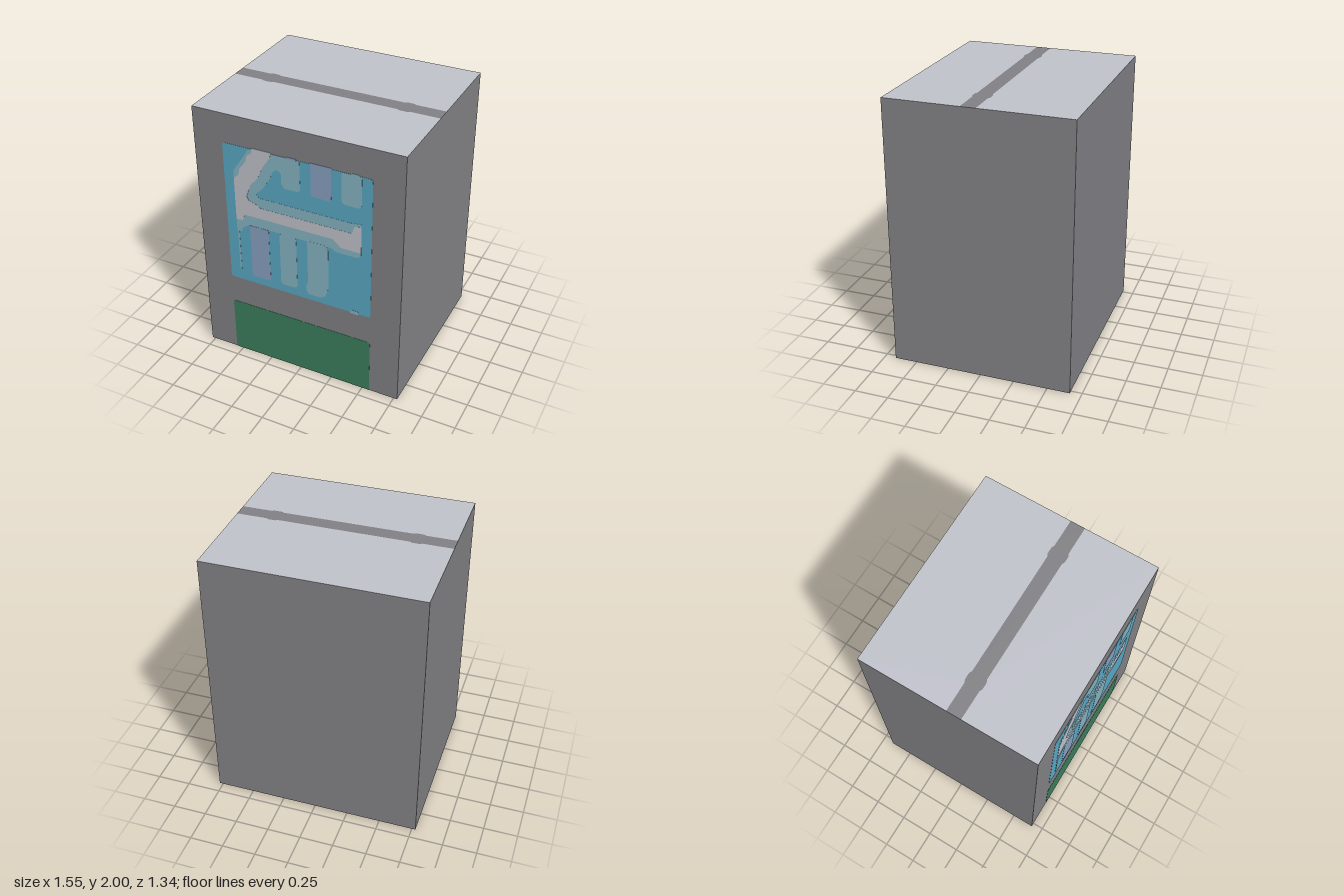
import * as THREE from 'three';

const mat = (name, color, side = THREE.FrontSide) => {
  const m = new THREE.MeshStandardMaterial({ color, side });
  m.name = name;
  return m;
};

// Closed outline from [x, y] points
const outline = (pts) => new THREE.Shape(pts.map(([x, y]) => new THREE.Vector2(x, y)));

// Rectangle with separately rounded bottom and top corners
function roundedRect(x0, x1, y0, y1, rBottom, rTop) {
  const s = new THREE.Shape();
  s.moveTo(x0 + rBottom, y0);
  s.lineTo(x1 - rBottom, y0);
  s.quadraticCurveTo(x1, y0, x1, y0 + rBottom);
  s.lineTo(x1, y1 - rTop);
  s.quadraticCurveTo(x1, y1, x1 - rTop, y1);
  s.lineTo(x0 + rTop, y1);
  s.quadraticCurveTo(x0, y1, x0, y1 - rTop);
  s.lineTo(x0, y0 + rBottom);
  s.quadraticCurveTo(x0, y0, x0 + rBottom, y0);
  return s;
}

export function createModel() {
  const W = 1.555, H = 2, D = 1.335;
  const grey = mat('cabinetGrey', 0x828286, THREE.DoubleSide);
  const light = mat('paleGrey', 0xc1c3cc, THREE.DoubleSide);
  const blue = mat('windowBlue', 0x59a9c5);
  const teal = mat('paleTeal', 0x86b4c2);
  const mauve = mat('mauveBlue', 0x8aa2c0);
  const green = mat('hatchGreen', 0x3c7e5d);

  const model = new THREE.Group();
  model.name = 'cabinet';
  const add = (parent, name, geometry, material) => {
    const mesh = new THREE.Mesh(geometry, material);
    mesh.name = name;
    parent.add(mesh);
    return mesh;
  };

  // Thin walls, open underneath
  const wall = (name, width, x, z, turn) => {
    const m = add(model, name, new THREE.PlaneGeometry(width, H), grey);
    m.position.set(x, H / 2, z);
    m.rotation.y = turn;
  };
  wall('frontWall', W, 0, D / 2, 0);
  wall('backWall', W, 0, -D / 2, Math.PI);
  wall('leftWall', D, W / 2, 0, Math.PI / 2);
  wall('rightWall', D, -W / 2, 0, -Math.PI / 2);

  // Lid made of two pale panels meeting a dark seam with tabs
  const seamEdge = (z, zTab) => [
    [-W / 2, z], [-0.56, z], [-0.54, zTab], [-0.49, zTab], [-0.47, z],
    [0.47, z], [0.49, zTab], [0.54, zTab], [0.56, z], [W / 2, z],
  ];
  const back = seamEdge(0, -0.01), front = seamEdge(0.11, 0.12);
  const lid = new THREE.Group();
  lid.name = 'lid';
  lid.position.y = H;
  lid.rotation.x = Math.PI / 2;
  model.add(lid);
  const lidPanel = (name, pts, material) =>
    add(lid, name, new THREE.ShapeGeometry(outline(pts)), material);
  lidPanel('lidBackPanel', [[-W / 2, -D / 2], [W / 2, -D / 2], ...[...back].reverse()], light);
  lidPanel('lidSeam', [...back, ...[...front].reverse()], grey);
  lidPanel('lidFrontPanel', [...front, [W / 2, D / 2], [-W / 2, D / 2]], light);

  // Painted plates straddle the front wall, so they show inside and outside
  const plate = (name, shape, thickness, material) => {
    const g = new THREE.ExtrudeGeometry(shape, { depth: thickness, bevelEnabled: false, curveSegments: 5 });
    g.translate(0, 0, D / 2 - thickness / 2);
    return add(model, name, g, material);
  };
  plate('hatch', roundedRect(-0.555, 0.555, 0, 0.445, 0, 0.02), 0.003, green);
  plate('window', roundedRect(-0.555, 0.555, 0.67, 1.78, 0.02, 0.02), 0.003, blue);

  // Soft teal border behind the pale shelf
  plate('shelfBorder', outline([
    [-0.35, 1.78], [0.03, 1.78], [0.03, 1.56], [0.01, 1.54], [-0.09, 1.54], [-0.11, 1.57],
    [-0.11, 1.65], [-0.14, 1.67], [-0.17, 1.65], [-0.2, 1.58], [-0.26, 1.49], [-0.31, 1.44],
    [-0.29, 1.41], [0.4, 1.41], [0.48, 1.42], [0.48, 1.17], [0.45, 1.145], [0.29, 1.145],
    [0.26, 1.165], [-0.38, 1.165], [-0.43, 1.13], [-0.45, 1.08], [-0.48, 1.1],
    [-0.48, 1.58], [-0.44, 1.64], [-0.4, 1.7],
  ]), 0.005, teal);

  // Pale shelf with its slanting arm
  plate('shelf', outline([
    [-0.33, 1.788], [-0.185, 1.788], [-0.19, 1.75], [-0.25, 1.66], [-0.29, 1.57],
    [-0.35, 1.5], [-0.385, 1.4], [-0.37, 1.37], [-0.31, 1.35], [-0.28, 1.33], [0.41, 1.33],
    [0.43, 1.39], [0.48, 1.4], [0.48, 1.19], [0.33, 1.19], [0.27, 1.243],
    [-0.41, 1.243], [-0.43, 1.19], [-0.48, 1.19], [-0.48, 1.52], [-0.44, 1.56],
    [-0.43, 1.61], [-0.38, 1.67], [-0.37, 1.72], [-0.33, 1.75],
  ]), 0.007, light);

  // Goods hanging above and standing below the shelf
  const goods = [
    [0.11, 0.26, 1.535, 1.788, 0.015, 0, mauve],
    [0.335, 0.48, 1.54, 1.78, 0.03, 0, teal],
    [0.4, 0.465, 1.77, 1.788, 0, 0.005, teal],
    [-0.07, 0.005, 1.775, 1.788, 0, 0, mauve],
    [-0.375, -0.225, 0.73, 1.163, 0.03, 0.01, mauve],
    [-0.14, -0.01, 0.735, 1.17, 0.03, 0.03, teal],
    [-0.475, -0.462, 0.76, 1.1, 0, 0, teal],
    [0.4, 0.465, 0.66, 0.69, 0.01, 0.01, teal],
  ];
  goods.forEach(([x0, x1, y0, y1, rb, rt, m], i) =>
    plate(`goods${i + 1}`, roundedRect(x0, x1, y0, y1, rb, rt), 0.006, m));
  plate('bentGoods', outline([
    [0.075, 1.17], [0.22, 1.17], [0.235, 1.13], [0.235, 0.82], [0.21, 0.74], [0.17, 0.715],
    [0.08, 0.715], [0.06, 0.74], [0.06, 0.78], [0.075, 0.82],
  ]), 0.006, teal);

  return model;
}
